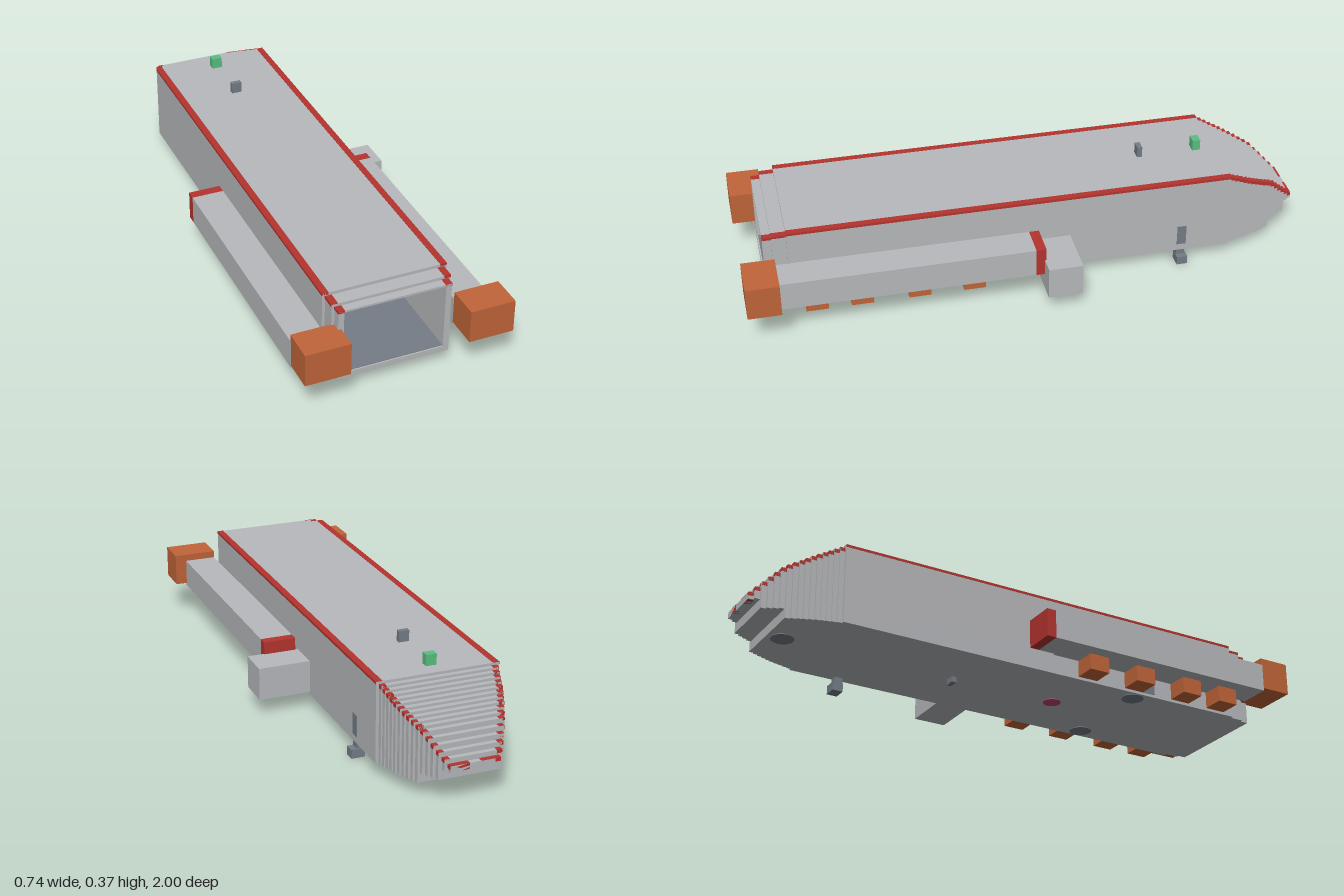
import * as THREE from 'three';

const mat = (name, color) => Object.assign(new THREE.MeshStandardMaterial({ color }), { name });

export function createModel() {
  const model = new THREE.Group();
  const grey = mat('hull grey', 0xb8b9bc);
  const red = mat('trim red', 0xb5342f);
  const orange = mat('engine orange', 0xc16539);
  const slate = mat('slate', 0x757d86);
  const green = mat('green', 0x5abf82);
  const magenta = mat('magenta', 0xc2406e);
  const CX = -0.03, BOTTOM = 0.05, TOP = 0.333; // hull axis, underside, deck

  // Box given by its limits on each axis
  function box(name, m, x0, x1, y0, y1, z0, z1, parent = model) {
    const mesh = new THREE.Mesh(new THREE.BoxGeometry(x1 - x0, y1 - y0, z1 - z0), m);
    mesh.position.set((x0 + x1) / 2, (y0 + y1) / 2, (z0 + z1) / 2);
    mesh.name = name;
    parent.add(mesh);
    return mesh;
  }

  // Hollow hull section with half width w
  function section(name, w, top, z0, z1) {
    const s = new THREE.Shape([[-w, BOTTOM], [w, BOTTOM], [w, top], [-w, top]].map(p => new THREE.Vector2(...p)));
    const hw = 0.175;
    s.holes.push(new THREE.Path([[-hw, 0.07], [-hw, 0.305], [hw, 0.305], [hw, 0.07]].map(p => new THREE.Vector2(...p))));
    const mesh = new THREE.Mesh(new THREE.ExtrudeGeometry(s, { depth: z1 - z0, bevelEnabled: false }), grey);
    mesh.position.set(CX, 0, z0);
    mesh.name = name;
    model.add(mesh);
  }

  // Red trim on both upper edges of a section
  function trim(w, top, z0, z1, width = 0.022, h = 0.008) {
    for (const s of [-1, 1]) {
      const a = CX + s * (w + 0.001), b = CX + s * (w - width);
      box('edgeTrim', red, Math.min(a, b), Math.max(a, b), top - h, top + 0.001, z0, z1);
    }
  }

  // Main hull and the stepped open end
  const sections = [[0.215, TOP, -0.72, 0.84], [0.205, 0.322, 0.84, 0.89], [0.195, 0.312, 0.89, 0.92]];
  for (const [w, top, z0, z1] of sections) {
    section('hullSection', w, top, z0, z1);
    trim(w, top, z0, z1);
  }
  box('interiorFloor', slate, CX - 0.175, CX + 0.175, 0.066, 0.072, -0.72, 0.915);

  // Nose in narrowing, falling slabs
  const lerp = (table, t) => {
    let i = 1;
    while (i < table.length - 1 && t > table[i][0]) i++;
    const [a, b] = [table[i - 1], table[i]];
    return a[1] + (b[1] - a[1]) * (t - a[0]) / (b[0] - a[0]);
  };
  const widths = [[0.72, 0.207], [0.8, 0.185], [0.85, 0.165], [0.9, 0.142], [0.95, 0.115], [1, 0.08]];
  const tops = [[0.72, 0.328], [0.8, 0.287], [0.9, 0.235], [0.94, 0.195], [1, 0.135]];
  const steps = 16, dz = 0.28 / steps;
  for (let i = 0; i < steps; i++) {
    const d = 0.72 + i * dz, w = lerp(widths, d + dz / 2), top = lerp(tops, d + dz / 2);
    const low = d < 0.895 ? BOTTOM : d < 0.955 ? 0.085 : 0.12;
    box('noseSlab', grey, CX - w, CX + w, low, top, -d - dz, -d);
    trim(w, top, -d - dz, -d, 0.018, 0.012);
  }
  for (const s of [-1, 1]) box('noseTipTrim', red, CX + s * 0.05 - 0.03, CX + s * 0.05 + 0.03, 0.12, 0.145, -1, -0.97);

  // Side pods with engine, cap and thrusters underneath
  const pods = [
    { x0: 0.195, x1: 0.31, link: [0.18, 0.2], engine: [0.195, 0.352], lift: [0.185, 0.263] },
    { x0: -0.37, x1: -0.257, link: [-0.26, -0.24], engine: [-0.37, -0.215], lift: [-0.323, -0.244] },
  ];
  for (const p of pods) {
    const pod = new THREE.Group();
    pod.name = 'sidePod';
    model.add(pod);
    box('podBody', grey, p.x0, p.x1, 0.118, 0.22, 0.01, 0.89, pod);
    box('podCap', red, p.x0, p.x1, 0.118, 0.22, -0.025, 0.01, pod);
    box('podConnector', grey, ...p.link, 0.12, 0.185, 0.075, 0.785, pod);
    box('engine', orange, ...p.engine, 0.128, 0.245, 0.885, 1, pod);
    for (const z of [0.76, 0.605, 0.407, 0.215])
      box('liftThruster', orange, ...p.lift, 0.06, 0.119, z - 0.038, z + 0.038, pod);
  }

  // Side container and deck fittings
  box('sideContainer', grey, 0.183, 0.37, 0.06, 0.176, -0.14, -0.02);
  box('deckBeacon', green, -0.049, -0.012, TOP, 0.372, -0.665, -0.637);
  box('deckSensor', slate, -0.049, -0.012, TOP, 0.372, -0.45, -0.432);
  box('bellySensor', slate, -0.049, -0.012, 0.03, BOTTOM, -0.215, -0.197);
  box('legStrut', slate, 0.157, 0.184, 0.03, BOTTOM, -0.562, -0.532);
  box('legFoot', slate, 0.157, 0.205, 0, 0.031, -0.568, -0.53);
  box('sideHatch', slate, 0.183, 0.187, 0.075, 0.15, -0.565, -0.532);

  // Round plates set in the belly
  function disc(name, m, x, z, r) {
    const mesh = new THREE.Mesh(new THREE.CylinderGeometry(r, r, 0.004, 16), m);
    mesh.position.set(x, BOTTOM, z);
    mesh.name = name;
    model.add(mesh);
  }
  disc('frontBellyPlate', slate, CX, -0.84, 0.04);
  disc('centreBellyPlate', magenta, CX, 0.2, 0.032);

  // Pairs of belly plates, wall plates and floor lockers
  for (const s of [-1, 1]) {
    disc('rearBellyPlate', slate, CX + s * 0.172, 0.43, 0.04);
    box('wallPlate', slate, CX + s * 0.215 - 0.002, CX + s * 0.215 + 0.002, 0.06, 0.12, 0.375, 0.495);
    box('floorLocker', slate, CX + s * 0.157 - 0.02, CX + s * 0.157 + 0.02, 0.07, 0.11, 0.39, 0.47);
  }

  // Interior equipment, rising toward the nose
  box('floorCore', magenta, CX - 0.04, CX + 0.04, 0.07, 0.129, 0.16, 0.24);
  box('floorConsole', green, CX - 0.04, CX + 0.04, 0.07, 0.145, -0.38, -0.3);
  box('floorCabinet', slate, CX - 0.04, CX + 0.04, 0.07, 0.167, -0.71, -0.63);

  return model;
}
